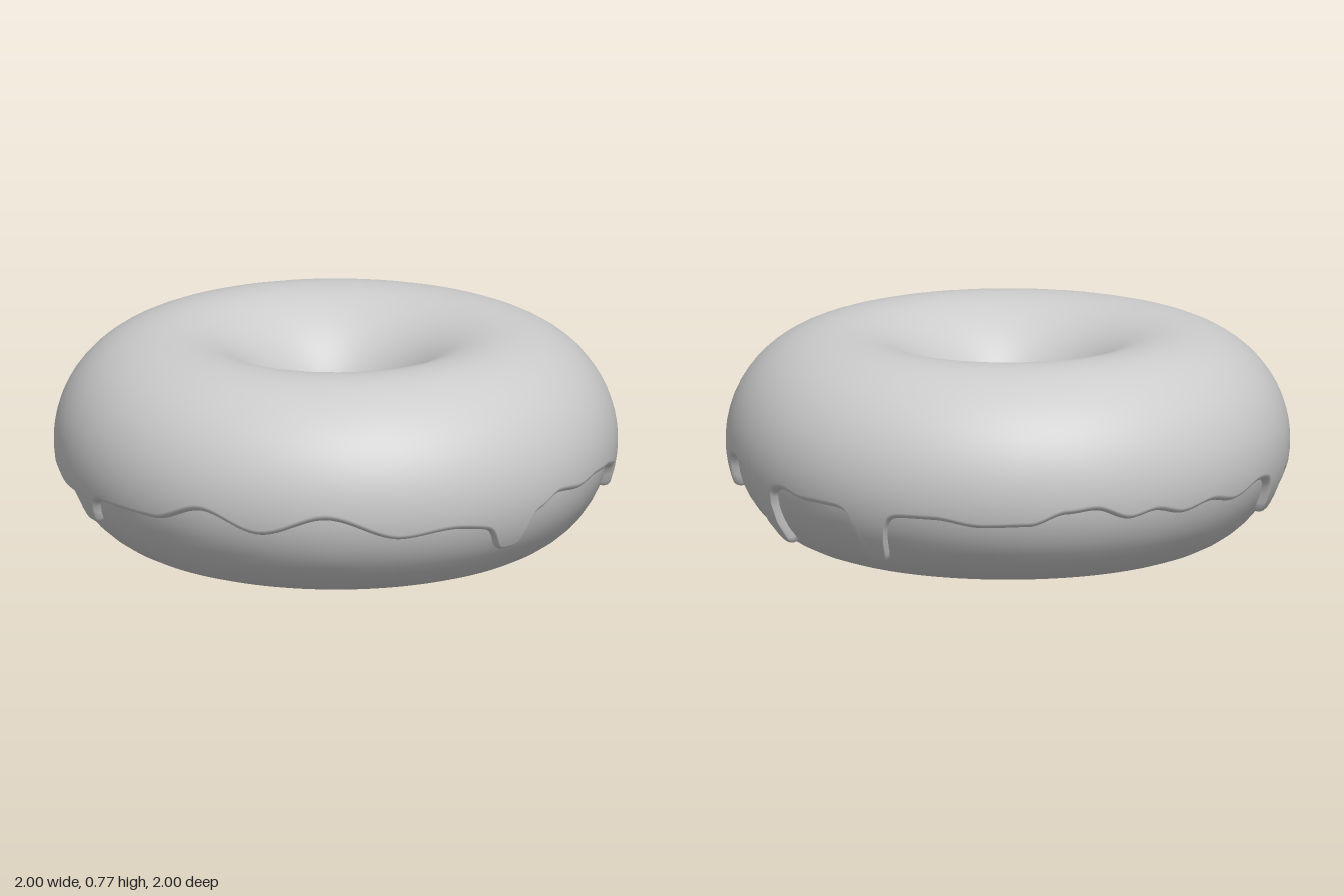
import * as THREE from 'three';
import { ParametricGeometry } from 'three/addons/geometries/ParametricGeometry.js';

const RING = 0.6, DOUGH = 0.37, ICING = 0.4, MID_Y = 0.37;

// Wavy lower edge of the icing: [degrees from the front towards +x, height]
const EDGE = [
  [-1, 0.26], [10, 0.28], [19, 0.265], [32, 0.3], [38, 0.335], [46, 0.32], [53, 0.335], [60, 0.33],
  [65, 0.315], [79, 0.35], [84, 0.335], [92, 0.295], [102, 0.305], [108, 0.285], [116, 0.285],
  [133, 0.275], [140, 0.275], [150, 0.25], [160, 0.255], [168, 0.3], [174, 0.31], [182, 0.265],
  [188, 0.285], [195, 0.26], [203, 0.285], [210, 0.265], [220, 0.305], [235, 0.28], [245, 0.27],
  [262, 0.28], [270, 0.255], [286, 0.28], [304, 0.28], [316, 0.345], [329, 0.275], [343, 0.345],
];

// Drips: [degrees, tip height, half width in degrees]
const DRIPS = [
  [25, 0.16, 4], [70.8, 0.21, 2.9], [93.6, 0.07, 2.7], [125, 0.08, 3.2],
  [230, 0.15, 3.3], [250, 0.16, 3], [280.5, 0.17, 3],
];

function edgeHeight(deg) {
  const a = ((deg + 1 + 720) % 360) - 1;
  let i = EDGE.length - 1;
  while (i > 0 && EDGE[i][0] > a) i--;
  const p = EDGE[i];
  const q = i + 1 < EDGE.length ? EDGE[i + 1] : [359, EDGE[0][1]];
  let y = THREE.MathUtils.lerp(p[1], q[1], THREE.MathUtils.smoothstep(a, p[0], q[0]));
  for (const [centre, tip, half] of DRIPS) {
    const t = Math.abs(a - centre) / half;
    y = THREE.MathUtils.lerp(y, tip, 1 / (1 + t ** 5));
  }
  return y;
}

// Icing shell: rounded lip at the wavy outer edge, over the top, rounded lip inside the hole
function icingPoint(u, v, target) {
  const a = u * Math.PI * 2;
  const start = Math.asin((edgeHeight(u * 360) - MID_Y) / ICING);
  const end = Math.PI;
  const lip = 0.075, lipV = 0.2;
  const base = DOUGH - 0.008, thick = ICING - base;
  let phi, r = ICING;
  if (v < lipV) {
    const t = (v / lipV) * Math.PI / 2;
    phi = start + lip * (1 - Math.cos(t));
    r = base + thick * Math.sin(t);
  } else if (v > 1 - lipV) {
    const t = ((1 - v) / lipV) * Math.PI / 2;
    phi = end - lip * (1 - Math.cos(t));
    r = base + thick * Math.sin(t);
  } else {
    phi = THREE.MathUtils.mapLinear(v, lipV, 1 - lipV, start + lip, end - lip);
  }
  const d = RING + r * Math.cos(phi);
  target.set(d * Math.sin(a), MID_Y + r * Math.sin(phi), d * Math.cos(a));
}

export function createModel() {
  const group = new THREE.Group();
  group.name = 'ringDoughnut';

  const grey = new THREE.MeshStandardMaterial({ color: 0xcccccc });
  grey.name = 'plainGrey';

  // Dough ring
  const dough = new THREE.Mesh(new THREE.TorusGeometry(RING, DOUGH, 48, 128), grey);
  dough.name = 'dough';
  dough.rotation.x = -Math.PI / 2;
  dough.position.y = MID_Y;
  group.add(dough);

  // Icing with drips
  const icing = new THREE.Mesh(new ParametricGeometry(icingPoint, 540, 50), grey);
  icing.name = 'icing';
  group.add(icing);

  return group;
}
